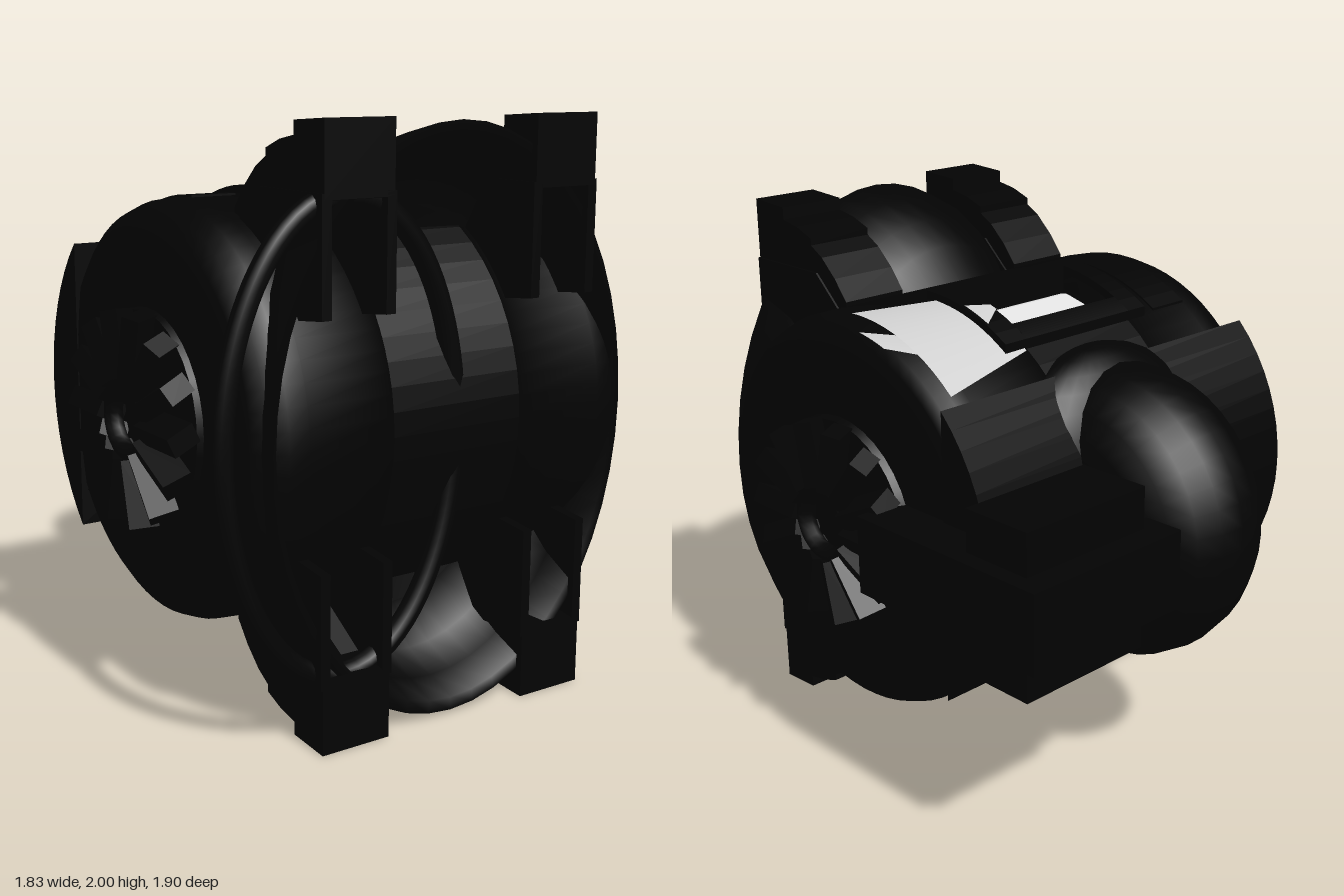
import * as THREE from 'three';
import { RoundedBoxGeometry } from 'three/addons/geometries/RoundedBoxGeometry.js';

const CY = 1, CZ = 0.22, R = 0.72; // drum axis and radius

function material(name, color, side = THREE.FrontSide) {
  const m = new THREE.MeshStandardMaterial({ color, side });
  m.name = name;
  return m;
}

export function createModel() {
  const root = new THREE.Group();
  root.name = 'thrusterUnit';
  const black = material('black', 0x030303);
  const white = material('white', 0xe4e4e4);
  const silver = material('silver', 0xcfcfcf, THREE.DoubleSide);

  const add = (name, geo, mat = black, parent = root) => {
    const m = new THREE.Mesh(geo, mat);
    m.name = name;
    parent.add(m);
    return m;
  };
  const v2 = (pts) => pts.map(([a, b]) => new THREE.Vector2(a, b));

  // Side outline of [z, y] points extruded across x
  const slab = (name, pts, x0, x1) => {
    const shape = new THREE.Shape(v2(pts.map(([z, y]) => [-z, y])));
    const g = new THREE.ExtrudeGeometry(shape, { depth: x1 - x0, bevelEnabled: false });
    return add(name, g.rotateY(Math.PI / 2).translate(x0, 0, 0));
  };
  // Top outline, or its copy mirrored to the underside
  const flip = (pts, s) => pts.map(([z, y]) => [z, CY + s * (y - CY)]);
  const heightAt = (r, z) => CY + Math.sqrt(r * r - (z - CZ) ** 2);
  // Points along the drum surface between two z positions
  const arc = (r, z0, z1, n = 8) => Array.from({ length: n + 1 }, (_, i) => {
    const z = z0 + (z1 - z0) * i / n;
    return [z, heightAt(r, z)];
  });
  // Points along the drum surface between two angles, measured from +z
  const sweep = (r, a0, a1, n) => Array.from({ length: n + 1 }, (_, i) => {
    const a = a0 + (a1 - a0) * i / n;
    return [CZ + r * Math.cos(a), CY + r * Math.sin(a)];
  });
  // Curved plate hugging the drum
  const curvedOutline = (r, z0, z1) => {
    const pts = arc(r, z0, z1);
    return [...pts, ...pts.map(([z, y]) => [z, y - 0.09]).reverse()];
  };
  const box = (name, x0, x1, y0, y1, z0, z1) =>
    add(name, new THREE.BoxGeometry(x1 - x0, y1 - y0, z1 - z0)
      .translate((x0 + x1) / 2, (y0 + y1) / 2, (z0 + z1) / 2));

  // Drum ends, lying across x
  const rightEnd = [[0, -0.78], [0.56, -0.78], [0.64, -0.765], [0.69, -0.73], [0.715, -0.67],
    [R, -0.6], [R, -0.28], [0, -0.28]];
  const leftEnd = [[0, 0.24], [R, 0.24], [R, 0.6], [0.718, 0.66], [0.7, 0.705], [0.66, 0.73], [0.58, 0.735], [0, 0.735]];
  for (const [name, pts] of [['drumRightEnd', rightEnd], ['drumLeftEnd', leftEnd]])
    add(name, new THREE.LatheGeometry(v2(pts), 64).rotateZ(-Math.PI / 2).translate(0, CY, CZ));

  // Drum middle with a pocket above and below
  const pz = [0.15, -0.11], floor = 0.56;
  const [aF, aB] = pz.map((z) => Math.acos((z - CZ) / R));
  slab('drumMiddle', [
    ...sweep(R, -aF, aF, 30), [pz[0], CY + floor], [pz[1], CY + floor],
    ...sweep(R, aB, Math.PI * 2 - aB, 20), [pz[1], CY - floor], [pz[0], CY - floor],
  ], -0.28, 0.24);

  // Squarer band across the back of the drum
  slab('rearBand', sweep(0.742, Math.PI * 0.75, Math.PI * 1.25, 16), -0.785, 0.745);

  // Dished shell around the front of the drum
  const dish = v2([[0, 0.25], [0.4, 0.31], [0.68, 0.45], [0.8, 0.54], [0.885, 0.64], [0.95, 0.77], [0.985, 0.93],
    [0.94, 0.93], [0.9, 0.82], [0.84, 0.7], [0.7, 0.6], [0, 0.56]]);
  add('frontShell', new THREE.LatheGeometry(dish, 48).rotateX(Math.PI / 2).scale(0.74, 1, 1).translate(-0.02, CY, 0));

  // Round rear bulge and its collar
  add('rearBulge', new THREE.TorusGeometry(0.25, 0.29, 20, 40).rotateY(Math.PI / 2).translate(-0.02, CY, -0.41));
  add('rearCollar', new THREE.SphereGeometry(1, 32, 20).scale(0.56, 0.585, 0.27).translate(-0.01, CY, -0.27));

  for (const s of [1, -1]) {
    // Curved brackets with gussets
    for (const x of [-0.43, 0.4]) {
      slab('bracket', flip([[0.955, 2], [0.79, 1.99], [0.79, 1.945], [0.71, 1.93], [0.63, 1.9], [0.63, 1.875],
        [0.57, 1.84], [0.5, 1.775], [0.44, 1.7], [0.44, 1.58], [0.6, 1.6], [0.82, 1.74], [0.955, 1.76]], s),
        x - 0.13, x + 0.13);
      for (const e of [-0.12, 0.12])
        slab('bracketGusset', flip([[0.955, 1.78], [0.955, 1.4], [0.78, 1.38], [0.45, 1.64], [0.6, 1.78]], s),
          x + e - 0.018, x + e + 0.018);
    }
    // Raised frame around the pocket
    for (const [a, b] of [[-0.37, -0.28], [0.24, 0.34]])
      slab('panelFrameSide', flip(curvedOutline(0.75, 0.22, -0.18), s), a, b);
    for (const [a, b] of [[0.22, pz[0]], [pz[1], -0.18]])
      slab('panelFrameRail', flip(curvedOutline(0.75, a, b), s), -0.28, 0.24);
    // Light panel sunk in the pocket
    const panel = add('lightPanel', new RoundedBoxGeometry(0.46, 0.08, 0.21, 3, 0.035), white);
    panel.position.set(-0.02, CY + s * 0.605, 0.02);
    panel.rotation.x = -s * 0.25;
    // Shallow access cover
    slab('accessCover', flip(curvedOutline(0.727, 0.23, -0.17), s), -0.6, -0.43);
  }

  // Silver patches following the drum: each edge is [x, back z, front z, radius]
  const patch = (name, edges) => {
    const pos = [], idx = [], n = 12;
    for (let i = 0; i <= n; i++) {
      for (const [x, a, b, r] of edges) {
        const z = a + (b - a) * i / n;
        pos.push(x, heightAt(r, z), z);
      }
      const k = i * 2;
      if (i < n) idx.push(k, k + 2, k + 1, k + 1, k + 2, k + 3);
    }
    const g = new THREE.BufferGeometry();
    g.setAttribute('position', new THREE.Float32BufferAttribute(pos, 3));
    g.setIndex(idx);
    g.computeVertexNormals();
    add(name, g, silver);
  };
  patch('silverPatch', [[0.25, -0.19, 0.155, 0.724], [0.66, -0.26, 0.24, 0.724]]);
  patch('silverPatchTip', [[0.66, -0.1, 0.01, 0.724], [0.72, 0, 0.13, 0.697]]);
  patch('silverFrameChip', [[0.24, -0.03, 0, 0.754], [0.335, -0.09, 0.03, 0.754]]);

  // Bladed vents on both ends of the drum
  for (const [side, x] of [[1, 0.735], [-1, -0.775]]) {
    const vent = new THREE.Group();
    vent.name = side > 0 ? 'leftVent' : 'rightVent';
    vent.position.set(x, CY, CZ + 0.02);
    vent.rotation.y = side * Math.PI / 2;
    root.add(vent);
    add('ventBase', new THREE.CylinderGeometry(0.36, 0.38, 0.05, 36).rotateX(Math.PI / 2), black, vent);
    add('ventHub', new THREE.TorusGeometry(0.13, 0.035, 8, 24).translate(0, 0, 0.075), black, vent);
    for (let i = 0; i < 14; i++)
      add('ventBlade', new THREE.BoxGeometry(0.23, 0.07, 0.1).rotateX(0.45)
        .translate(0.25, 0, 0.075).rotateZ(i * Math.PI / 7), black, vent);
  }

  // Side arm and rear block
  box('sideArm', 0.73, 0.91, 0.86, 1.14, -0.89, -0.06);
  box('rearPlate', 0.24, 0.91, 0.86, 1.14, -0.89, -0.5);
  box('rearBlock', 0.32, 0.85, 0.71, 1.29, -0.8, -0.53);

  // Oval hose looping out of the front
  const loop = [];
  for (let i = 0; i < 32; i++) {
    const a = i / 32 * Math.PI * 2;
    loop.push(new THREE.Vector3(-0.44 + 0.44 * Math.cos(a), CY + 0.77 * Math.sin(a), 0.89));
  }
  add('hose', new THREE.TubeGeometry(new THREE.CatmullRomCurve3(loop, true), 80, 0.037, 10, true));

  return root;
}
